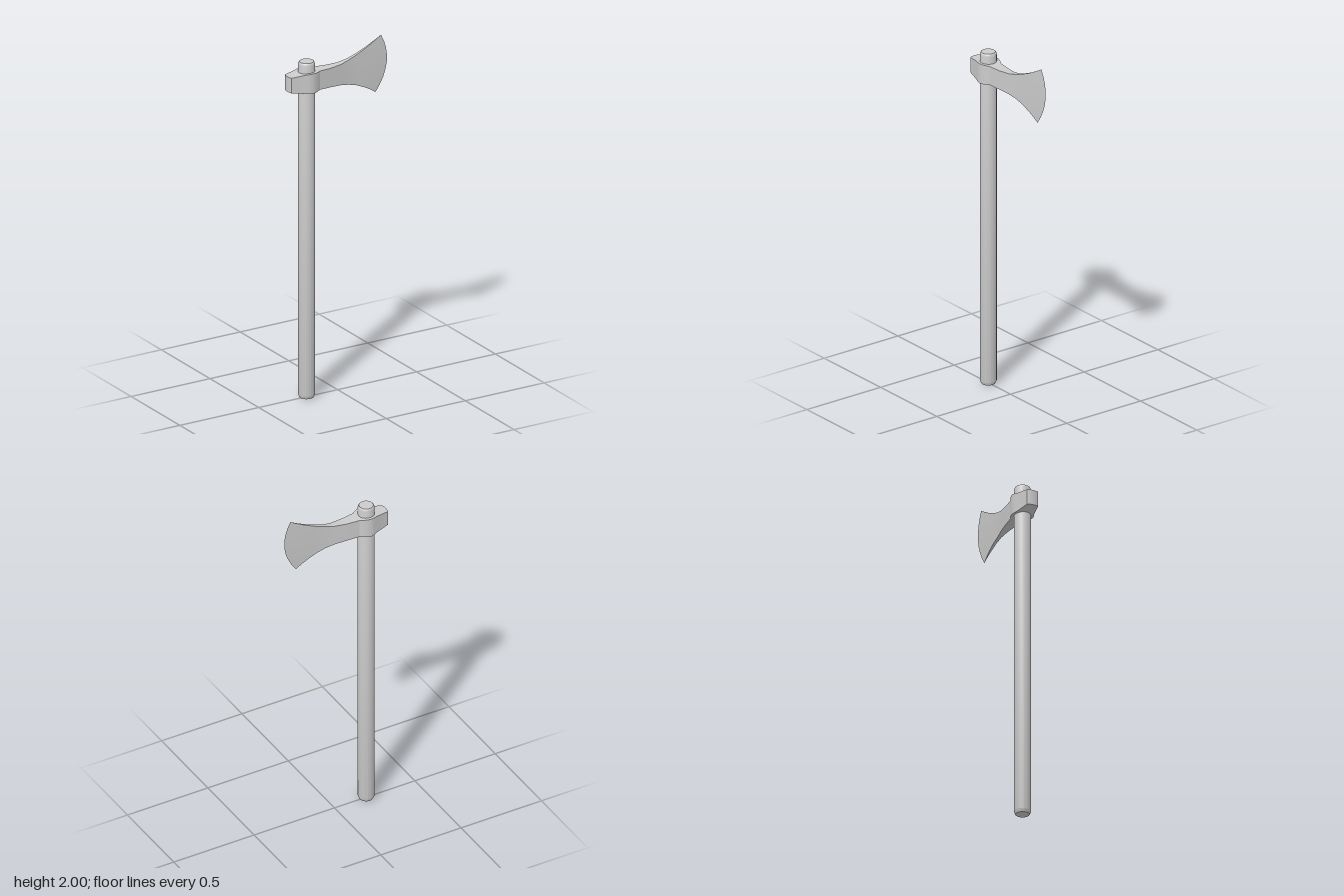
import * as THREE from 'three';
import { toCreasedNormals } from 'three/addons/utils/BufferGeometryUtils.js';

const HANDLE_X = -0.197;

// Skin a closed tube over rings that all have the same number of points
function loft(rings) {
  const n = rings[0].length, index = [];
  for (let i = 0; i < rings.length - 1; i++) {
    for (let j = 0; j < n; j++) {
      const a = i * n + j, b = i * n + (j + 1) % n;
      index.push(a, a + n, b + n, a, b + n, b);
    }
  }
  const geometry = new THREE.BufferGeometry();
  geometry.setAttribute('position', new THREE.Float32BufferAttribute(rings.flat(2), 3));
  geometry.setIndex(index);
  return geometry;
}

// Cross-section of the head: up the +z face, then down the -z face
function section([xTop, yTop, xBottom, yBottom, bulge, halfZ], rows = 8) {
  const front = [];
  for (let k = 0; k <= rows; k++) {
    const v = k / rows;
    front.push([
      THREE.MathUtils.lerp(xBottom, xTop, v) + bulge * 4 * v * (1 - v),
      THREE.MathUtils.lerp(yBottom, yTop, v),
      halfZ,
    ]);
  }
  return [...front, ...front.map(([x, y, z]) => [x, y, -z]).reverse()];
}

export function createModel() {
  const group = new THREE.Group();
  const material = new THREE.MeshStandardMaterial({ color: 0xcccccc });
  const add = (name, geometry, crease) => {
    const mesh = new THREE.Mesh(toCreasedNormals(geometry, crease), material);
    mesh.name = name;
    group.add(mesh);
    return mesh;
  };

  // Straight round handle with chamfered ends
  const profile = [[0, 0], [0.038, 0], [0.046, 0.018], [0.046, 1.928], [0.044, 1.938], [0.039, 1.945], [0, 1.945]];
  const handle = new THREE.LatheGeometry(profile.map(([r, y]) => new THREE.Vector2(r, y)), 20);
  add('handle', handle, 0.5).position.x = HANDLE_X;

  // Poll and eye: x, top, bottom, half thickness
  const eye = [
    [-0.32, 1.88, 1.793, 0], [-0.318, 1.88, 1.793, 0.018], [-0.312, 1.88, 1.792, 0.034],
    [-0.236, 1.887, 1.78, 0.05], [-0.218, 1.889, 1.777, 0.058], [-0.195, 1.89, 1.775, 0.062],
    [-0.172, 1.889, 1.776, 0.058], [-0.15, 1.888, 1.778, 0.047], [-0.135, 1.887, 1.779, 0.038],
  ].map(([x, top, bottom, z]) => [x, top, x, bottom, 0, z]);

  // Blade flaring to the curved cutting edge: top x, y, bottom x, y, bulge, half thickness
  const blade = [
    [-0.06, 1.885, -0.06, 1.775, 0, 0.029], [0.01, 1.889, 0.01, 1.769, 0.002, 0.019],
    [0.065, 1.902, 0.063, 1.758, 0.006, 0.011], [0.12, 1.922, 0.115, 1.743, 0.015, 0.0085],
    [0.175, 1.946, 0.165, 1.721, 0.028, 0.006], [0.225, 1.972, 0.205, 1.699, 0.04, 0.003],
    [0.275, 2.0, 0.24, 1.675, 0.054, 0],
  ];
  add('axeHead', loft([...eye, ...blade].map((s) => section(s))), 0.4);

  return group;
}
